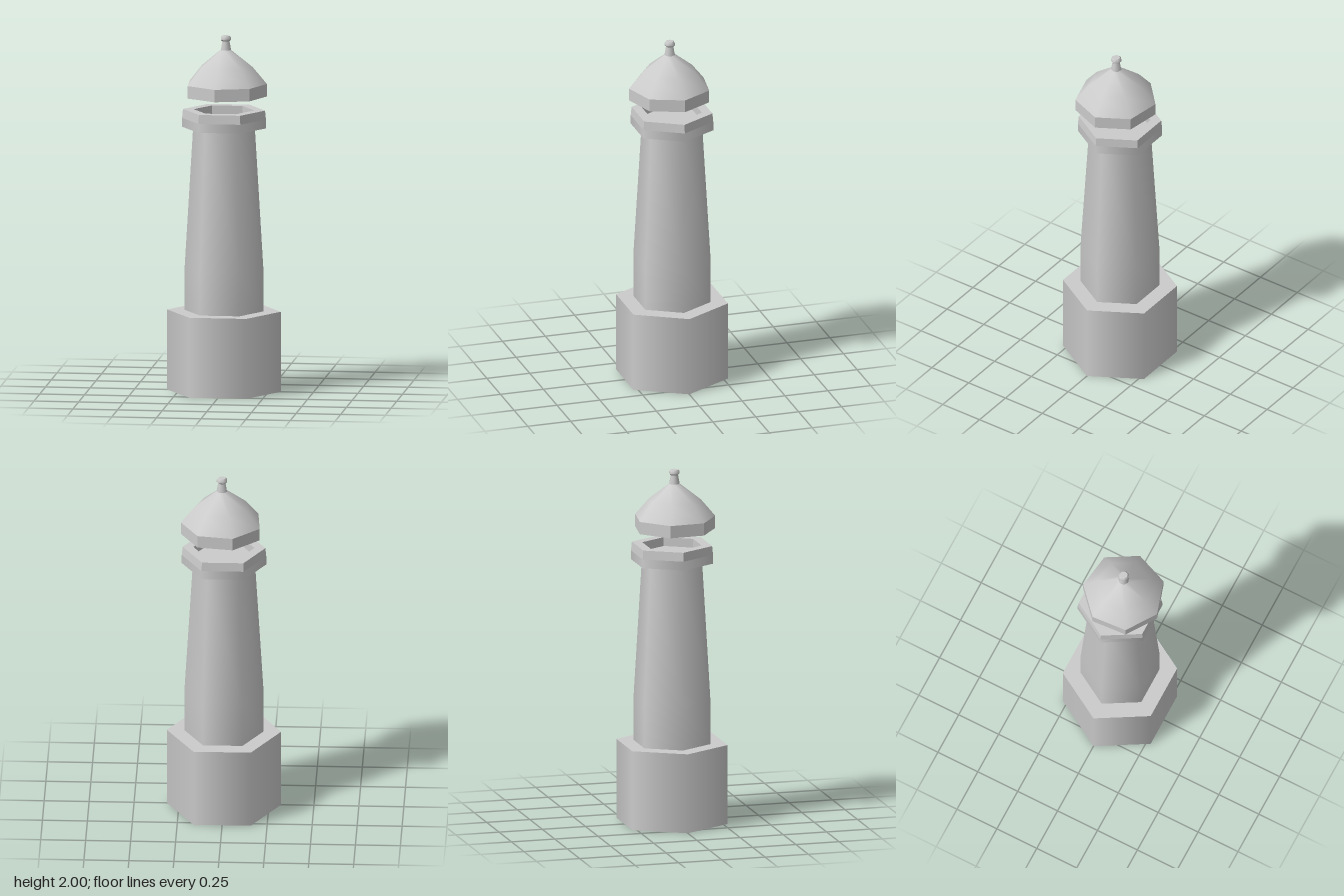
import * as THREE from 'three';

const smooth = new THREE.MeshStandardMaterial({ color: 0xcccccc });
const flat = new THREE.MeshStandardMaterial({ color: 0xcccccc, flatShading: true });

// Prism of revolution: each strip is a [radius, height] profile with soft
// shading inside it and a hard edge where it meets the next strip.
function turned(name, sides, startAngle, strips, material = smooth) {
  const part = new THREE.Group();
  part.name = name;
  for (const strip of strips) {
    const points = strip.map(([r, y]) => new THREE.Vector2(r, y));
    const mesh = new THREE.Mesh(new THREE.LatheGeometry(points, sides, startAngle), material);
    mesh.name = name + 'Surface';
    part.add(mesh);
  }
  return part;
}

export function createModel() {
  const model = new THREE.Group();
  model.name = 'lighthouse';
  const hexStart = Math.PI / 2; // a corner points along +x

  // Wide hexagonal footing
  model.add(turned('base', 6, hexStart, [
    [[0, 0], [0.318, 0]],
    [[0.318, 0], [0.318, 0.45]],
    [[0.318, 0.45], [0, 0.45]],
  ]));

  // Tapering shaft, upright at its foot
  model.add(turned('tower', 6, hexStart, [
    [[0.22, 0.45], [0.22, 0.7], [0.173, 1.48]],
  ]));

  // Gallery slab under the lantern
  model.add(turned('gallery', 6, hexStart, [
    [[0, 1.48], [0.235, 1.48]],
    [[0.235, 1.48], [0.235, 1.53]],
  ]));

  // Gallery rim with a shallow well in the middle
  model.add(turned('galleryRim', 6, hexStart, [
    [[0.235, 1.53], [0.23, 1.58]],
    [[0.23, 1.58], [0.17, 1.58]],
    [[0.17, 1.58], [0.17, 1.53]],
    [[0.17, 1.53], [0, 1.53]],
  ], flat));

  // Seven-sided roof, slightly turned and off centre
  const roof = new THREE.Group();
  roof.name = 'roof';
  roof.position.set(0.012, 0, 0.017);
  const roofStart = Math.PI / 2 + 0.075;
  roof.add(turned('roofFascia', 7, roofStart, [
    [[0, 1.66], [0.229, 1.66]],
    [[0.229, 1.66], [0.229, 1.73]],
  ], flat));
  roof.add(turned('roofDome', 7, roofStart, [
    [[0.229, 1.73], [0.15, 1.825], [0.03, 1.92]],
  ]));

  // Finial with a small cap
  roof.add(turned('finial', 7, roofStart, [
    [[0.03, 1.92], [0.021, 1.97]],
    [[0.021, 1.97], [0.03, 1.978]],
    [[0.03, 1.978], [0.03, 1.99], [0.022, 2]],
    [[0.022, 2], [0, 2]],
  ]));
  model.add(roof);

  return model;
}
